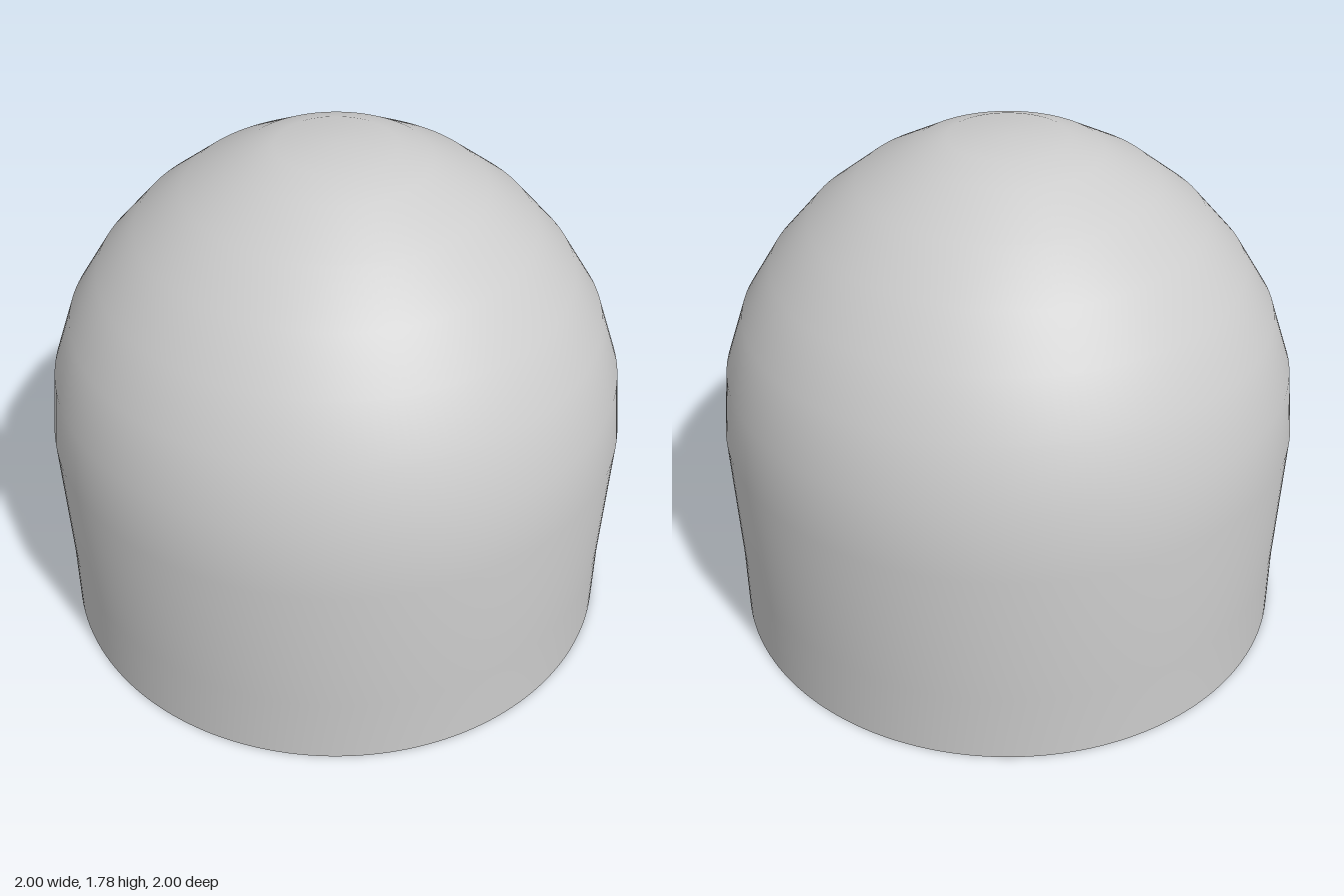
import * as THREE from 'three';
import { toCreasedNormals } from 'three/addons/utils/BufferGeometryUtils.js';

const R_IN = 0.893;      // bore of the locking ring
const R_SHELL = 0.945;   // inside of the shell, also the bottom of the grooves
const Y_FLOOR = 0.053, Y_CEIL = 0.146, Y_RING = 0.265;
const ENTRY_START = -6, ENTRY_END = 5, SLOT_END = 50.7; // degrees, from +x towards +z
const rad = THREE.MathUtils.degToRad;

// Solid piece of the locking ring between two angles and two heights
function ringSector(startDeg, endDeg, y0, y1, material, name) {
  const a = rad(startDeg), b = rad(endDeg);
  const shape = new THREE.Shape();
  shape.absarc(0, 0, R_SHELL, a, b, false);
  shape.absarc(0, 0, R_IN, b, a, true);
  shape.closePath();
  const geo = new THREE.ExtrudeGeometry(shape, { depth: y1 - y0, bevelEnabled: false, curveSegments: 64 });
  geo.rotateX(Math.PI / 2).translate(0, y1, 0);
  const mesh = new THREE.Mesh(toCreasedNormals(geo, 0.5), material);
  mesh.name = name;
  return mesh;
}

export function createModel() {
  const group = new THREE.Group();
  group.name = 'domedCap';
  const grey = new THREE.MeshStandardMaterial({ color: 0xcccccc });
  grey.name = 'grey plastic';

  // Hollow domed shell: down the inside, over the ring, across the rim, up the outside
  const outer = [
    [0.982, 0], [0.982, 0.25], [1, 0.75], [0.975, 0.98], [0.905, 1.185], [0.8, 1.355],
    [0.665, 1.51], [0.5, 1.64], [0.315, 1.74], [0.2, 1.78], [0, 1.785],
  ];
  const innerDome = outer.slice(2).reverse().map(([r, y]) => [r * 0.96, 0.75 + (y - 0.75) * 0.96]);
  const profile = [
    ...innerDome, [R_SHELL, Y_RING], [R_IN, Y_RING], [R_IN, Y_CEIL], [R_SHELL, Y_CEIL], [R_SHELL, 0], ...outer,
  ].map(([r, y]) => new THREE.Vector2(r, y));
  const shell = new THREE.Mesh(toCreasedNormals(new THREE.LatheGeometry(profile, 180), 0.5), grey);
  shell.name = 'domeShell';
  group.add(shell);

  // Ring left standing between three L-shaped locking grooves
  for (let i = 0; i < 3; i++) {
    const turn = i * 120;
    group.add(
      ringSector(turn + ENTRY_END, turn + 120 + ENTRY_START, 0, Y_FLOOR, grey, 'lockingLip'),
      ringSector(turn + SLOT_END, turn + 120 + ENTRY_START, Y_FLOOR, Y_CEIL, grey, 'grooveStop'),
    );
  }
  return group;
}
